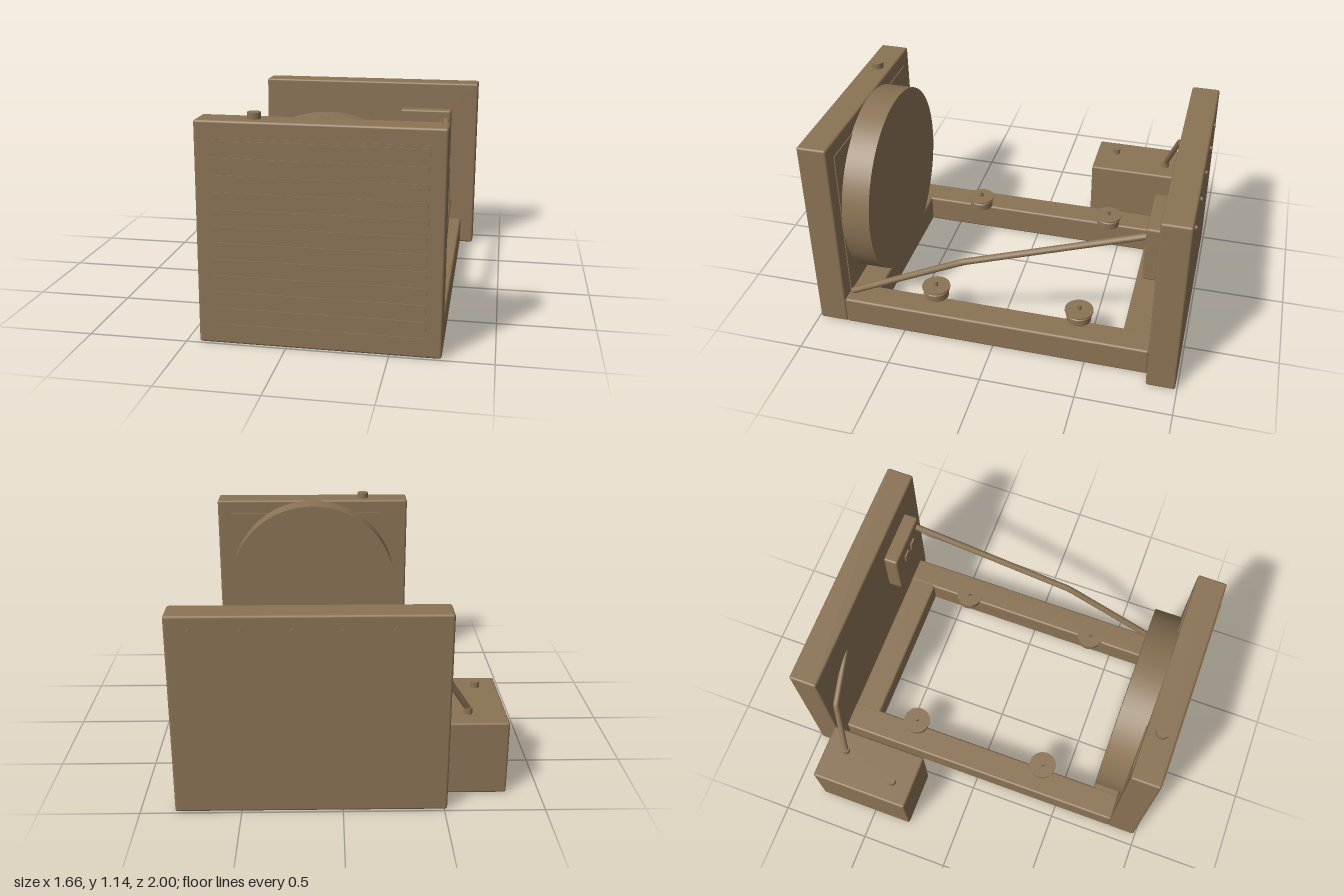
import * as THREE from 'three';
import { RoundedBoxGeometry } from 'three/addons/geometries/RoundedBoxGeometry.js';

export function createModel() {
  const root = new THREE.Group();
  root.name = 'coolingRig';
  const brown = new THREE.MeshStandardMaterial({ color: 0x8b7355 });
  brown.name = 'brown';

  const add = (name, geometry, parent = root) => {
    const mesh = new THREE.Mesh(geometry, brown);
    mesh.name = name;
    parent.add(mesh);
    return mesh;
  };
  // box given by its extents, with softened edges when r > 0
  const box = (name, [x0, x1], [y0, y1], [z0, z1], r = 0.012, parent = root) => {
    const size = [x1 - x0, y1 - y0, z1 - z0];
    const g = r ? new RoundedBoxGeometry(...size, 2, r) : new THREE.BoxGeometry(...size);
    add(name, g, parent).position.set((x0 + x1) / 2, (y0 + y1) / 2, (z0 + z1) / 2);
  };
  // upright cylinder from y0 to y1
  const post = (name, x, z, r, y0, y1, parent = root) =>
    add(name, new THREE.CylinderGeometry(r, r, y1 - y0, 24), parent).position.set(x, (y0 + y1) / 2, z);
  // pipe following straight runs between points
  const pipe = (name, points, r) => {
    const path = new THREE.CurvePath();
    const v = points.map((p) => new THREE.Vector3(...p));
    for (let i = 1; i < v.length; i++) path.add(new THREE.LineCurve3(v[i - 1], v[i]));
    add(name, new THREE.TubeGeometry(path, 40, r, 10), root);
    for (const p of [v[0], v[v.length - 1]]) {
      add(name + 'End', new THREE.SphereGeometry(r, 10, 8)).position.copy(p);
    }
  };

  // base frame
  box('leftRail', [0.6, 0.75], [0, 0.157], [-0.835, 0.835]);
  box('rightRail', [-0.435, -0.28], [0, 0.157], [-0.835, 0.835]);
  box('rearCrossbar', [-0.43, 0.745], [0.001, 0.156], [-0.834, -0.68]);
  box('frontCrossbar', [-0.43, 0.745], [0.001, 0.156], [0.68, 0.834]);

  // front radiator with raised core and slats
  box('radiatorBody', [-0.435, 0.75], [0, 1.11], [0.832, 0.99]);
  box('radiatorCore', [-0.355, 0.67], [0.08, 1.03], [0.827, 0.994], 0);
  for (let i = 0; i < 12; i++) {
    const y = 0.1 + i * 0.083;
    box('radiatorSlat', [-0.355, 0.67], [y - 0.004, y + 0.004], [0.99, 1], 0);
  }
  post('fillerCap', -0.16, 0.91, 0.033, 1.1, 1.142);

  // round fan housing behind the radiator
  const fan = add('fanShroud', new THREE.CylinderGeometry(0.515, 0.515, 0.155, 64));
  fan.rotation.x = Math.PI / 2;
  fan.position.set(0.157, 0.595, 0.755);

  // rear panel with its row of studs
  box('rearPanel', [-0.515, 0.828], [0, 1.03], [-0.99, -0.838]);
  for (let i = 0; i < 5; i++) {
    const stud = add('rearStud', new THREE.CylinderGeometry(0.01, 0.01, 0.02, 12));
    stud.rotation.x = Math.PI / 2;
    stud.position.set(-0.24 + i * 0.238, 0.955, -0.99);
  }

  // control box and its two switches
  box('controlBox', [0.355, 0.67], [0.56, 0.87], [-0.842, -0.76]);
  for (const x of [0.475, 0.555]) {
    box('switch', [x - 0.024, x + 0.024], [0.73, 0.785], [-0.765, -0.75], 0);
  }

  // side tank with two caps
  box('tank', [-0.832, -0.52], [0, 0.395], [-0.835, -0.282]);
  post('tankCap', -0.715, -0.4, 0.023, 0.385, 0.428);
  post('tankOutlet', -0.635, -0.715, 0.023, 0.385, 0.428);

  // hose and cable
  pipe('tankHose', [[-0.635, 0.42, -0.715], [-0.475, 0.68, -0.8], [-0.2, 0.785, -0.845]], 0.016);
  pipe('controlCable', [[0.71, 0.2, 0.79], [0.71, 0.52, 0.16], [0.64, 0.81, -0.77]], 0.018);

  // four rubber mounts: turned puck, washer and stud
  const puck = [[0, 0.165], [0.066, 0.165], [0.066, 0.197], [0.07, 0.199], [0.07, 0.207], [0.06, 0.214], [0, 0.214]]
    .map(([r, y]) => new THREE.Vector2(r, y));
  for (const x of [-0.28, 0.595]) for (const z of [-0.437, 0.357]) {
    const mount = new THREE.Group();
    mount.name = 'mount';
    mount.position.set(x, 0, z);
    root.add(mount);
    const body = add('mountPuck', new THREE.LatheGeometry(puck, 28).toNonIndexed(), mount);
    body.geometry.computeVertexNormals();
    post('mountWasher', 0, 0, 0.077, 0.222, 0.229, mount);
    post('mountStud', 0, 0, 0.011, 0.157, 0.258, mount);
  }
  return root;
}
